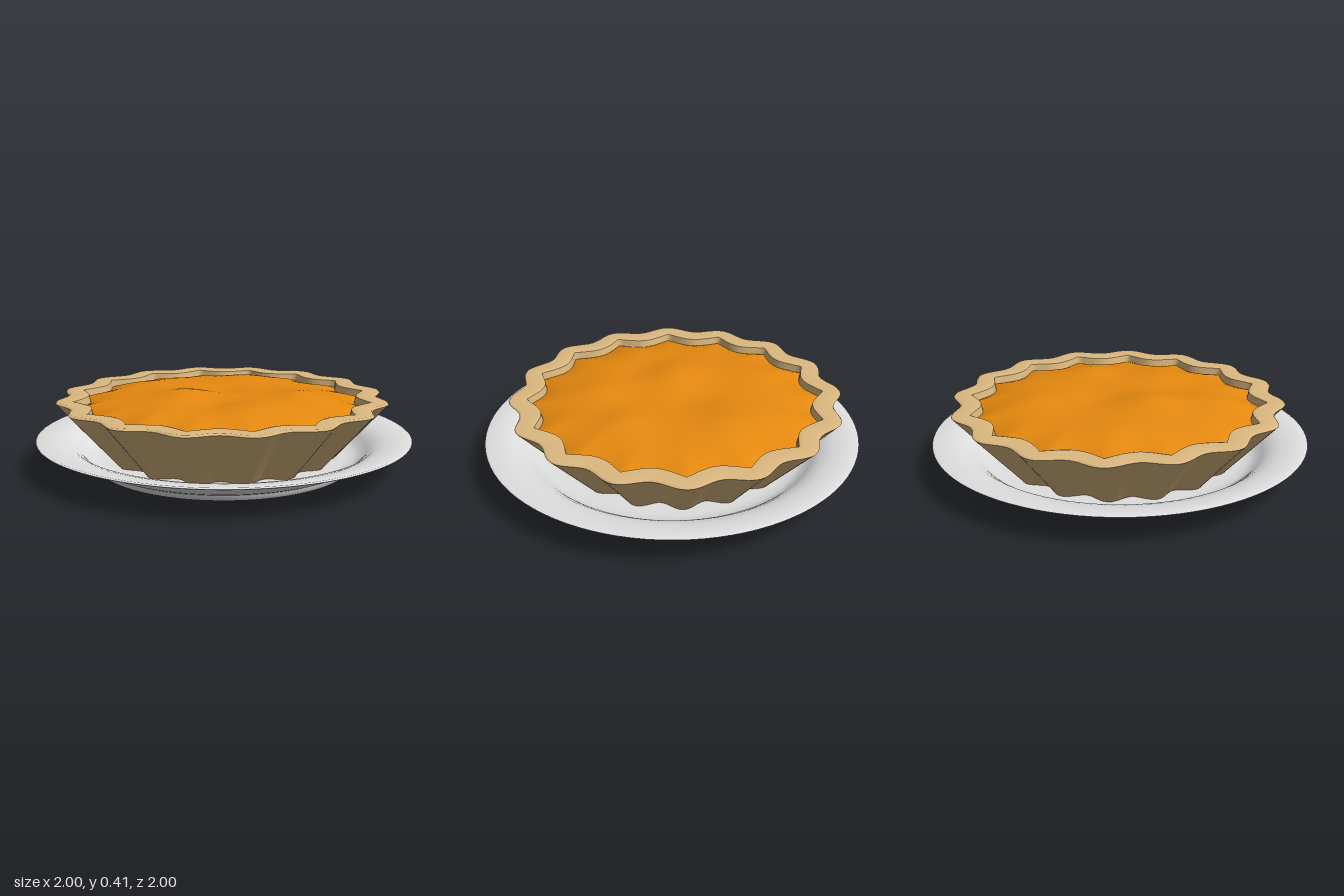
import * as THREE from 'three';
import { toCreasedNormals } from 'three/addons/utils/BufferGeometryUtils.js';

const FLUTES = 16;
const SEGMENTS = FLUTES * 12;
const START = -0.11; // angle of the first flute peak

// Fluted outlines, as radius by angle
const outerRadius = (a) => 0.857 + 0.028 * Math.cos(FLUTES * (a - START));
const innerRadius = (a) => 0.79 - 0.07 * Math.abs(Math.sin((FLUTES / 2) * (a - START)));

// Closed rings joined into a smooth skin; point(row, angle) gives [radius, y]
function ringSkin(rows, point) {
  const positions = [];
  const index = [];
  for (let i = 0; i < rows; i++) {
    for (let j = 0; j < SEGMENTS; j++) {
      const a = START + (j / SEGMENTS) * Math.PI * 2;
      const [r, y] = point(i, a);
      positions.push(r * Math.cos(a), y, r * Math.sin(a));
      if (i === rows - 1) continue;
      const p = i * SEGMENTS + j;
      const q = i * SEGMENTS + ((j + 1) % SEGMENTS);
      index.push(p, p + SEGMENTS, q, q, p + SEGMENTS, q + SEGMENTS);
    }
  }
  const geometry = new THREE.BufferGeometry();
  geometry.setAttribute('position', new THREE.Float32BufferAttribute(positions, 3));
  geometry.setIndex(index);
  geometry.computeVertexNormals();
  return geometry;
}

// Gentle lumps on the filling: x, z, height, width
const LUMPS = [
  [-0.2, 0.08, 0.034, 0.16], [0.18, -0.4, 0.022, 0.17], [0.42, 0.1, 0.024, 0.14],
  [0.15, 0.38, 0.022, 0.15], [-0.4, -0.3, 0.016, 0.18], [-0.35, 0.42, 0.012, 0.14],
  [0.02, -0.12, -0.012, 0.12], [-0.1, 0.3, -0.01, 0.11],
];

function fillingHeight(t, x, z) {
  let y = 0.318 + 0.058 * (1 - Math.pow(t, 5));
  for (const [lx, lz, h, w] of LUMPS) {
    y += h * Math.exp(-((x - lx) ** 2 + (z - lz) ** 2) / (w * w)) * (1 - t ** 8);
  }
  return y;
}

export function createModel() {
  const material = (name, color) => {
    const m = new THREE.MeshStandardMaterial({ color });
    m.name = name;
    return m;
  };
  const china = material('white china', 0xe0e0e0);
  const pastry = material('baked pastry', 0xdcb980);
  const pumpkin = material('orange filling', 0xe6890f);

  const model = new THREE.Group();
  model.name = 'pieOnPlate';
  const add = (parent, name, geometry, mat) => {
    const mesh = new THREE.Mesh(geometry, mat);
    mesh.name = name;
    parent.add(mesh);
  };

  // Plate: foot, curved well and wide sloping rim
  const profile = [
    [0, 0.004], [0.67, 0.004], [0.68, 0], [0.69, 0.004], [0.7, 0.02], [0.705, 0.035],
    [0.735, 0.048], [0.765, 0.073], [0.79, 0.1], [0.82, 0.118], [0.86, 0.13], [0.99, 0.154],
    [1, 0.16], [0.99, 0.165], [0.86, 0.142], [0.81, 0.128], [0.77, 0.1], [0.74, 0.072],
    [0.7, 0.053], [0.65, 0.048], [0, 0.048],
  ].map(([x, y]) => new THREE.Vector2(x, y));
  add(model, 'plate', toCreasedNormals(new THREE.LatheGeometry(profile, 96), 0.7), china);

  // Pie, set slightly off the plate's centre
  const pie = new THREE.Group();
  pie.name = 'pie';
  pie.position.set(-0.008, 0, -0.02);
  model.add(pie);

  // Flared, fluted crust wall
  add(pie, 'crustWall', ringSkin(6, (i, a) => {
    const y = 0.05 + (0.302 * i) / 5;
    return [outerRadius(a) - 0.9 * (0.352 - y), y];
  }), pastry);

  // Rim with a softened outer edge
  add(pie, 'crustRim', ringSkin(4, (i, a) => {
    const t = [0, 0.08, 0.85, 1][i];
    return [THREE.MathUtils.lerp(outerRadius(a), innerRadius(a), t), [0.352, 0.362, 0.362, 0.358][i]];
  }), pastry);

  // Inner side of the crust, down past the edge of the filling
  add(pie, 'crustInside', ringSkin(2, (i, a) => [innerRadius(a) - 0.012 * i, 0.358 - 0.058 * i]), pastry);

  // Lumpy domed filling
  const fillRows = 25;
  add(pie, 'filling', ringSkin(fillRows, (i, a) => {
    const t = 1 - i / (fillRows - 1);
    const r = t * (THREE.MathUtils.lerp(0.75, innerRadius(a), t ** 3) - 0.004);
    return [r, fillingHeight(t, r * Math.cos(a), r * Math.sin(a))];
  }), pumpkin);

  return model;
}
